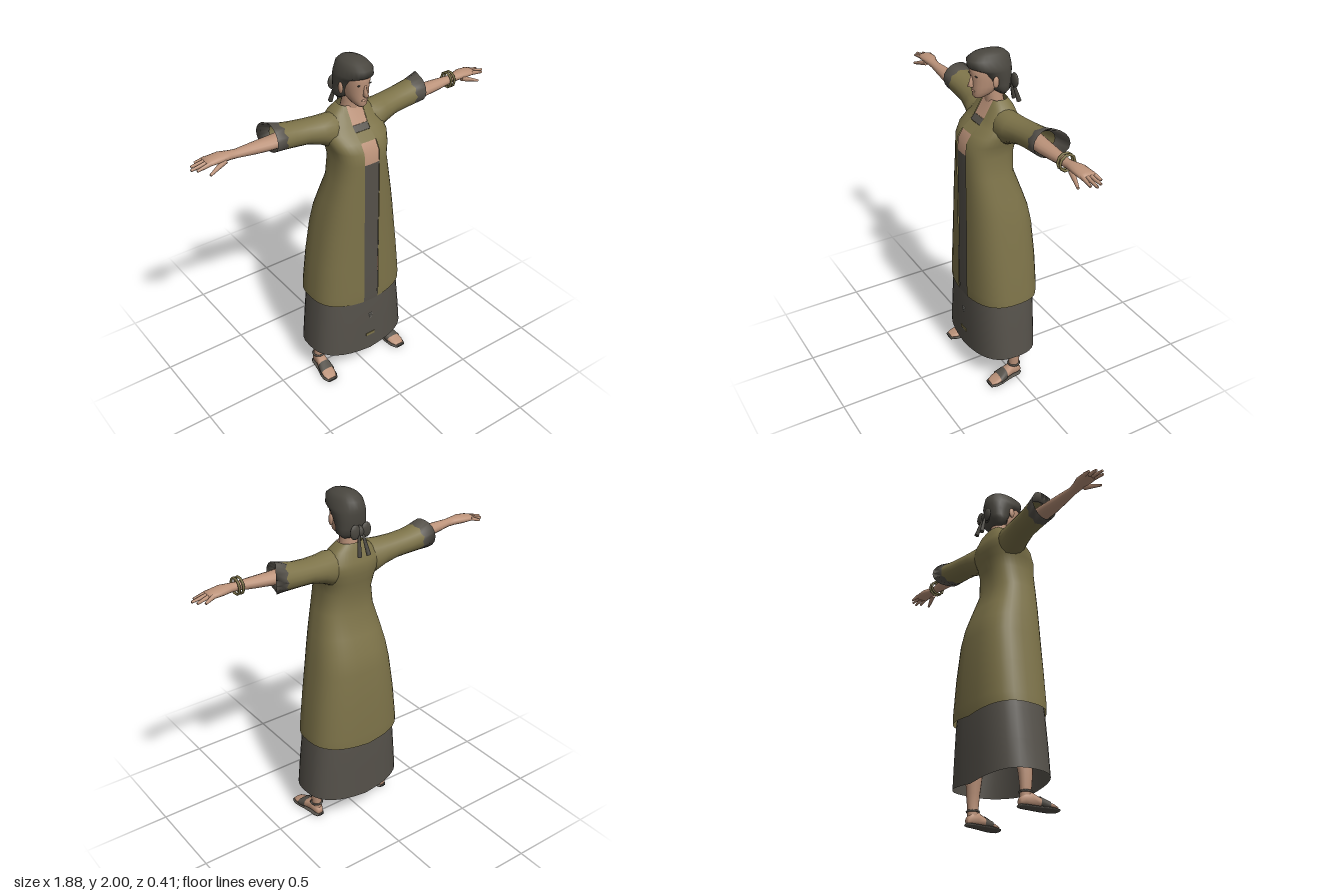
import * as THREE from 'three';

const mat = (name, color) => {
  const m = new THREE.MeshStandardMaterial({ color, side: THREE.DoubleSide });
  m.name = name;
  return m;
};

// Superellipse point helpers
const pw = (v, e) => Math.sign(v) * Math.pow(Math.abs(v), e);

// Horizontal section at height y: half width w, front z, back z, centre x
function yRing([y, w, f, b, cx = 0], { n = 24, e = 1, a0 = 0, a1 = Math.PI * 2, closed = true, hem = 0 } = {}) {
  const pts = [];
  const count = closed ? n : n + 1;
  for (let i = 0; i < count; i++) {
    const a = a0 + (a1 - a0) * i / n;
    const sx = pw(Math.sin(a), e);
    pts.push([cx + w * sx, y + hem * Math.abs(sx), (f + b) / 2 + (f - b) / 2 * pw(Math.cos(a), e)]);
  }
  return pts;
}

// Section across the x axis: top, bottom, front z, back z; skew pushes the rear outward
function xRing([x, t, b, zf, zb], n = 14, skew = 0, jag = 0) {
  return Array.from({ length: n }, (_, i) => {
    const a = i / n * Math.PI * 2, c = Math.cos(a);
    return [x + skew * Math.max(0, -c) + (i % 2 ? jag : 0), (t + b) / 2 + (t - b) / 2 * Math.sin(a), (zf + zb) / 2 + (zf - zb) / 2 * c];
  });
}

// Section across the z axis: centre x, half width, bottom, top
function zRing([z, cx, w, lo, hi], n = 12) {
  return Array.from({ length: n }, (_, i) => {
    const a = i / n * Math.PI * 2;
    return [cx + w * pw(Math.cos(a), 0.8), (lo + hi) / 2 + (hi - lo) / 2 * pw(Math.sin(a), 0.8), z];
  });
}

// Skin a list of equal-length sections
function loft(rings, { closed = true, caps = false } = {}) {
  if (caps) {
    const mid = r => r.map(() => [0, 1, 2].map(k => r.reduce((s, p) => s + p[k], 0) / r.length));
    rings = [mid(rings[0]), ...rings, mid(rings[rings.length - 1])];
  }
  const n = rings[0].length, idx = [];
  for (let j = 0; j < rings.length - 1; j++)
    for (let i = 0; i < (closed ? n : n - 1); i++) {
      const a = j * n + i, b = j * n + (i + 1) % n;
      idx.push(a, b, a + n, b, b + n, a + n);
    }
  const g = new THREE.BufferGeometry();
  g.setAttribute('position', new THREE.Float32BufferAttribute(rings.flat(2), 3));
  g.setIndex(idx);
  g.computeVertexNormals();
  return g;
}

// Tapered rod between two points
function rod(a, b, r1, r2, sides = 7) {
  const A = new THREE.Vector3(...a), d = new THREE.Vector3(...b).sub(A);
  const g = new THREE.CylinderGeometry(r2, r1, d.length(), sides);
  g.applyQuaternion(new THREE.Quaternion().setFromUnitVectors(new THREE.Vector3(0, 1, 0), d.clone().normalize()));
  return g.translate(...A.addScaledVector(d, 0.5).toArray());
}

const ball = (x, y, z, sx, sy, sz) => new THREE.SphereGeometry(1, 12, 8).scale(sx, sy, sz).translate(x, y, z);

// Coat profile: height, half width, front z, back z
const COAT = [
  [0.525, 0.29, 0.204, -0.198], [0.6, 0.287, 0.207, -0.201], [0.8, 0.265, 0.204, -0.194],
  [1.0, 0.236, 0.203, -0.18], [1.1, 0.22, 0.203, -0.16], [1.2, 0.2, 0.203, -0.125],
  [1.33, 0.17, 0.203, -0.078], [1.45, 0.15, 0.203, -0.085], [1.52, 0.162, 0.197, -0.098],
  [1.57, 0.178, 0.165, -0.108], [1.61, 0.178, 0.115, -0.11], [1.64, 0.165, 0.09, -0.105],
  [1.7, 0.12, 0.055, -0.085], [1.735, 0.068, 0.04, -0.065],
];

export function createModel() {
  const model = new THREE.Group();
  model.name = 'robedFigure';
  const olive = mat('olive cloth', 0x7d7349);
  const dark = mat('dark cloth', 0x55514a);
  const skin = mat('skin', 0xbc937a);
  const hairMat = mat('hair', 0x4a4740);
  const pale = mat('pale thread', 0x8f8d86);
  const add = (name, geo, m, parent = model) => {
    const mesh = new THREE.Mesh(geo, m);
    mesh.name = name;
    parent.add(mesh);
    return mesh;
  };

  // Open coat, with a narrow gap down the front
  const E = 0.75;
  const gap = r => Math.asin(Math.pow(0.048 / r[1], 1 / E));
  add('coat', loft(COAT.map((r, i) => yRing(r, {
    n: 36, e: E, a0: gap(r), a1: Math.PI * 2 - gap(r), closed: false, hem: i ? 0 : 0.03,
  })), { closed: false }), olive);

  // Pieces filling the gap, from hem to neckline
  const fill = (name, from, to, m, inset) => add(name, loft(COAT.slice(from, to + 1).map(r =>
    yRing([r[0], r[1], r[2] - inset, r[3]], { n: 4, e: E, a0: -gap(r), a1: gap(r), closed: false })), { closed: false }), m);
  fill('dressFront', 0, 7, dark, 0.004);
  fill('chestOpening', 7, 9, skin, 0.004);
  fill('coatClasp', 9, 10, olive, 0);
  fill('dressNeckline', 10, 11, dark, 0.002);
  fill('upperChest', 11, 13, skin, 0.003);

  // Long skirt below the coat
  add('skirt', loft([
    [0.155, 0.31, 0.206, -0.182], [0.35, 0.295, 0.204, -0.182], [0.53, 0.276, 0.199, -0.182], [0.7, 0.25, 0.185, -0.17],
  ].map((r, i) => yRing(r, { n: 36, e: E, hem: i ? 0 : 0.035 }))), dark);

  // Small embroidery on the skirt front
  add('skirtBar', new THREE.BoxGeometry(0.06, 0.018, 0.006).translate(0, 0.267, 0.205), olive);
  for (let i = 0; i < 3; i++)
    add('skirtStitch', new THREE.BoxGeometry(0.022 - i * 0.006, 0.006, 0.006).translate(0, 0.42 - i * 0.012, 0.204), pale);

  // Neck and head
  add('neck', loft([
    [1.6, 0.06, 0.05, -0.06], [1.7, 0.055, 0.045, -0.058], [1.75, 0.046, 0.05, -0.05], [1.83, 0.046, 0.06, -0.05],
  ].map(r => yRing(r, { n: 16 }))), skin);
  add('face', loft([
    [1.752, 0.02, 0.115, 0.06], [1.765, 0.034, 0.125, 0.03], [1.79, 0.048, 0.125, -0.02], [1.82, 0.057, 0.129, -0.05],
    [1.86, 0.062, 0.13, -0.06], [1.9, 0.065, 0.138, -0.06], [1.94, 0.06, 0.13, -0.05],
  ].map(r => yRing(r, { n: 20, e: 0.9 })), { caps: true }), skin);
  add('nose', loft([
    [1.812, 0.006, 0.135, 0.115], [1.823, 0.014, 0.157, 0.115], [1.845, 0.009, 0.147, 0.115], [1.88, 0.006, 0.137, 0.115],
  ].map(r => yRing(r, { n: 8 })), { caps: true }), skin);
  add('lips', ball(0, 1.793, 0.122, 0.018, 0.007, 0.008), skin);
  for (const s of [-1, 1]) {
    add('ear', ball(s * 0.086, 1.852, 0.035, 0.01, 0.032, 0.018), skin);
    add('eyebrow', new THREE.BoxGeometry(0.026, 0.005, 0.006).translate(s * 0.03, 1.882, 0.124), hairMat);
  }

  // Hair cap, swept back into a knot with two tails
  add('hair', loft([
    [1.765, 0.06, -0.01, -0.055], [1.792, 0.087, 0.03, -0.075], [1.82, 0.084, 0.04, -0.083], [1.86, 0.088, 0.065, -0.09],
    [1.9, 0.09, 0.1, -0.093], [1.922, 0.09, 0.146, -0.093], [1.965, 0.077, 0.153, -0.085], [1.988, 0.058, 0.12, -0.06], [2.0, 0.03, 0.07, -0.02],
  ].map(r => yRing(r, { n: 24, e: 0.9 })), { caps: true }), hairMat);
  add('hairKnot', ball(0, 1.81, -0.098, 0.025, 0.032, 0.025), hairMat);
  for (const s of [-1, 1]) {
    add('hairLoop', ball(s * 0.035, 1.815, -0.108, 0.032, 0.042, 0.014).rotateZ(0), hairMat);
    add('hairTail', rod([s * 0.012, 1.8, -0.11], [s * 0.028, 1.685, -0.142], 0.007, 0.014, 5), hairMat);
  }

  for (const s of [-1, 1]) {
    // Each side is built at +x, then mirrored for the right
    const side = new THREE.Group();
    side.name = s > 0 ? 'leftSide' : 'rightSide';
    model.add(side);
    const put = (name, geo, m) => {
      if (s < 0) {
        geo.scale(-1, 1, 1);
        const ix = geo.index;
        for (let i = 0; i < ix.count; i += 3) {
          const t = ix.getX(i);
          ix.setX(i, ix.getX(i + 1));
          ix.setX(i + 1, t);
        }
      }
      return add(name, geo, m, side);
    };

    // Flaring sleeve and frayed cuff
    const skew = s > 0 ? 0.055 : 0.02;
    const end = xRing([0.425, 1.72, 1.577, 0.046, -0.116], 18, skew * 0.7, -0.015);
    put('sleeve', loft([
      [0.07, 1.7, 1.55, 0.05, -0.075], [0.14, 1.702, 1.51, 0.085, -0.095], [0.2, 1.698, 1.542, 0.068, -0.097],
      [0.28, 1.7, 1.567, 0.052, -0.102], [0.36, 1.708, 1.573, 0.046, -0.108],
    ].map(r => xRing(r, 18)).concat([end])), olive);
    put('cuff', loft([end, xRing([0.48, 1.742, 1.58, 0.05, -0.13], 18, skew),
      xRing([0.44, 1.71, 1.6, 0.035, -0.1], 18)]), dark);

    // Arm and hand
    put('arm', loft([
      [0.3, 1.69, 1.6, 0.04, -0.07], [0.5, 1.682, 1.612, 0.038, -0.055], [0.6, 1.682, 1.622, 0.03, -0.042],
      [0.69, 1.68, 1.635, 0.022, -0.03], [0.73, 1.684, 1.638, 0.024, -0.036], [0.78, 1.688, 1.64, 0.032, -0.054],
      [0.84, 1.68, 1.642, 0.028, -0.058], [0.86, 1.674, 1.648, 0.022, -0.054],
    ].map(r => xRing(r)), { caps: true }), skin);
    [[-0.046, 0.893, -0.062], [-0.026, 0.925, -0.038], [-0.006, 0.94, -0.008], [0.014, 0.918, 0.016]].forEach(([z0, x1, z1]) =>
      put('finger', rod([0.84, 1.662, z0], [x1, 1.646, z1], 0.013, 0.007), skin));
    put('thumb', rod([0.765, 1.652, 0.018], [0.865, 1.62, 0.048], 0.017, 0.007), skin);

    // Leg, foot and sandal
    put('leg', loft([
      [0.05, 0.028, 0.03, -0.035, 0.238], [0.1, 0.028, 0.03, -0.034, 0.238], [0.18, 0.036, 0.037, -0.042, 0.238],
      [0.35, 0.05, 0.05, -0.06, 0.22], [0.6, 0.06, 0.06, -0.06, 0.18],
    ].map(r => yRing(r, { n: 14 }))), skin);
    const foot = [
      [-0.04, 0.237, 0.018, 0.012, 0.05], [-0.02, 0.238, 0.029, 0.012, 0.075], [0.02, 0.24, 0.032, 0.012, 0.088],
      [0.06, 0.244, 0.036, 0.012, 0.068], [0.1, 0.25, 0.042, 0.012, 0.05], [0.14, 0.255, 0.042, 0.012, 0.036], [0.172, 0.258, 0.028, 0.012, 0.026],
    ];
    put('foot', loft(foot.map(r => zRing(r)), { caps: true }), skin);
    put('sandalSole', loft(foot.map(([z, x, w]) => zRing([z * 1.04, x, w + 0.006, 0, 0.017])), { caps: true }), dark);
    put('sandalStrap', loft([[0.065, 0.245, 0.04, 0.005, 0.071], [0.115, 0.251, 0.047, 0.005, 0.05]].map(r => zRing(r))), dark);
    put('ankleStrap', new THREE.TorusGeometry(0.033, 0.006, 6, 18).rotateX(Math.PI / 2).translate(0.238, 0.085, -0.002), dark);
  }

  // Pair of bracelets on the left wrist
  for (const x of [0.672, 0.695])
    add('bracelet', new THREE.TorusGeometry(0.043, 0.007, 6, 10).rotateY(Math.PI / 2).translate(x, 1.66, -0.005), olive);

  return model;
}
